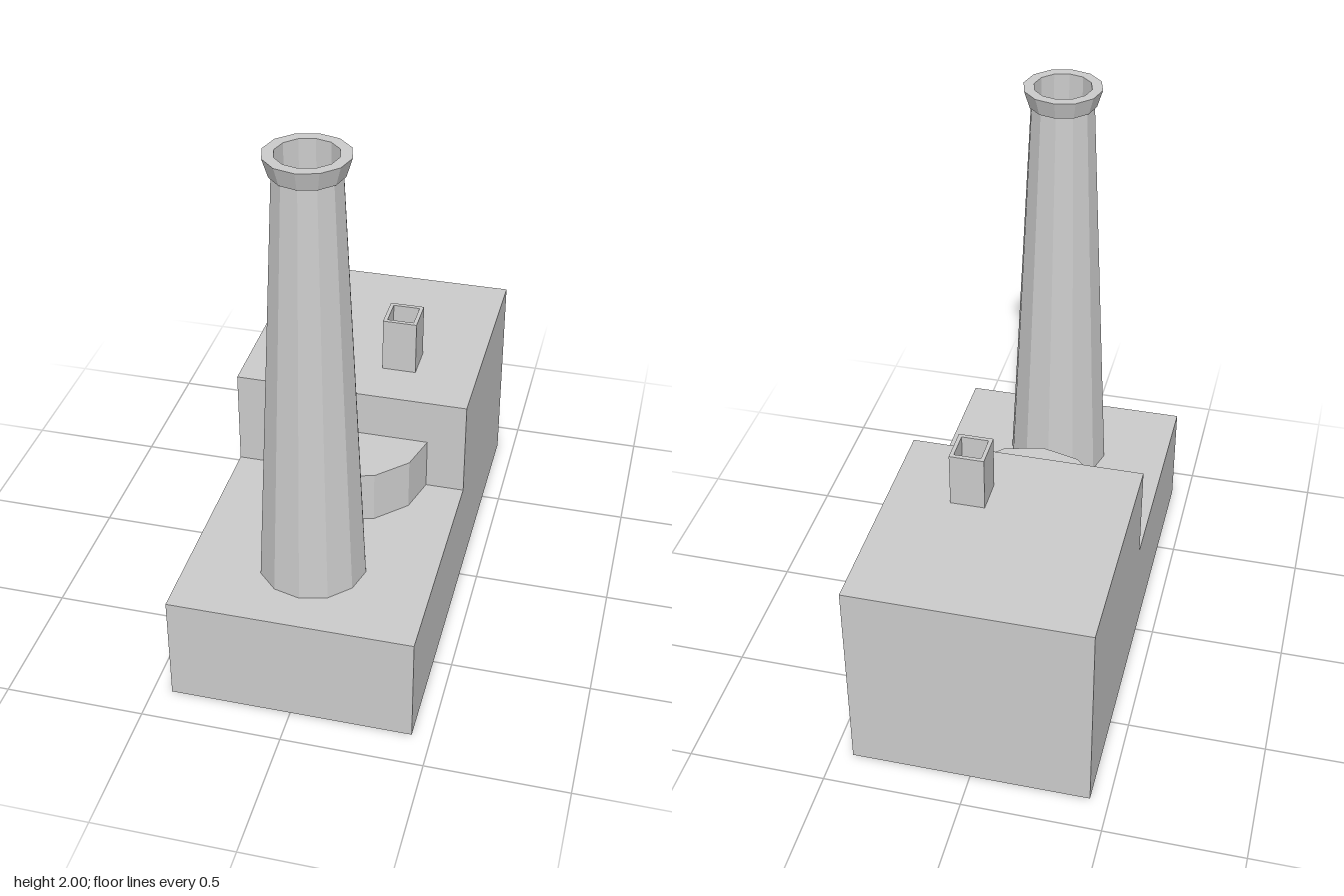
import * as THREE from 'three';

export function createModel() {
  const group = new THREE.Group();
  group.name = 'factory';
  const material = new THREE.MeshStandardMaterial({ color: 0xcccccc, flatShading: true });

  const halfWidth = 0.433, halfLength = 0.87;
  const lowRoof = 0.405, highRoof = 0.773;

  function add(name, geometry, x = 0, y = 0, z = 0) {
    const mesh = new THREE.Mesh(geometry, material);
    mesh.name = name;
    mesh.position.set(x, y, z);
    group.add(mesh);
    return mesh;
  }

  // Stepped building: side profile (z, y) extruded across the width
  const profile = new THREE.Shape([
    [-halfLength, 0], [halfLength, 0], [halfLength, lowRoof],
    [0, lowRoof], [0, highRoof], [-halfLength, highRoof],
  ].map(([z, y]) => new THREE.Vector2(z, y)));
  const building = new THREE.ExtrudeGeometry(profile, { depth: 2 * halfWidth, bevelEnabled: false });
  building.rotateY(-Math.PI / 2).translate(halfWidth, 0, 0);
  add('building', building);

  // Twelve-sided drum, half sunk into the tall block
  const drumHeight = 0.195;
  add('drum', new THREE.CylinderGeometry(0.288, 0.288, drumHeight, 12),
    0.005, lowRoof + drumHeight / 2, -0.005);

  // Tapered hollow chimney with a flared rim
  const chimney = [
    [0.19, lowRoof], [0.115, 1.935], [0.122, 1.935],
    [0.142, 2], [0.104, 2], [0.104, lowRoof],
  ].map(([r, y]) => new THREE.Vector2(r, y));
  add('chimney', new THREE.LatheGeometry(chimney, 12), 0, 0, 0.54);

  // Hollow square roof vent
  const rectangle = (Type, w, h) => new Type([
    new THREE.Vector2(-w, -h), new THREE.Vector2(w, -h),
    new THREE.Vector2(w, h), new THREE.Vector2(-w, h),
  ]);
  const ventShape = rectangle(THREE.Shape, 0.063, 0.067);
  ventShape.holes.push(rectangle(THREE.Path, 0.049, 0.052));
  const vent = new THREE.ExtrudeGeometry(ventShape, { depth: 0.98 - highRoof, bevelEnabled: false });
  vent.rotateX(-Math.PI / 2);
  add('roofVent', vent, 0.14, highRoof, -0.255);

  return group;
}
